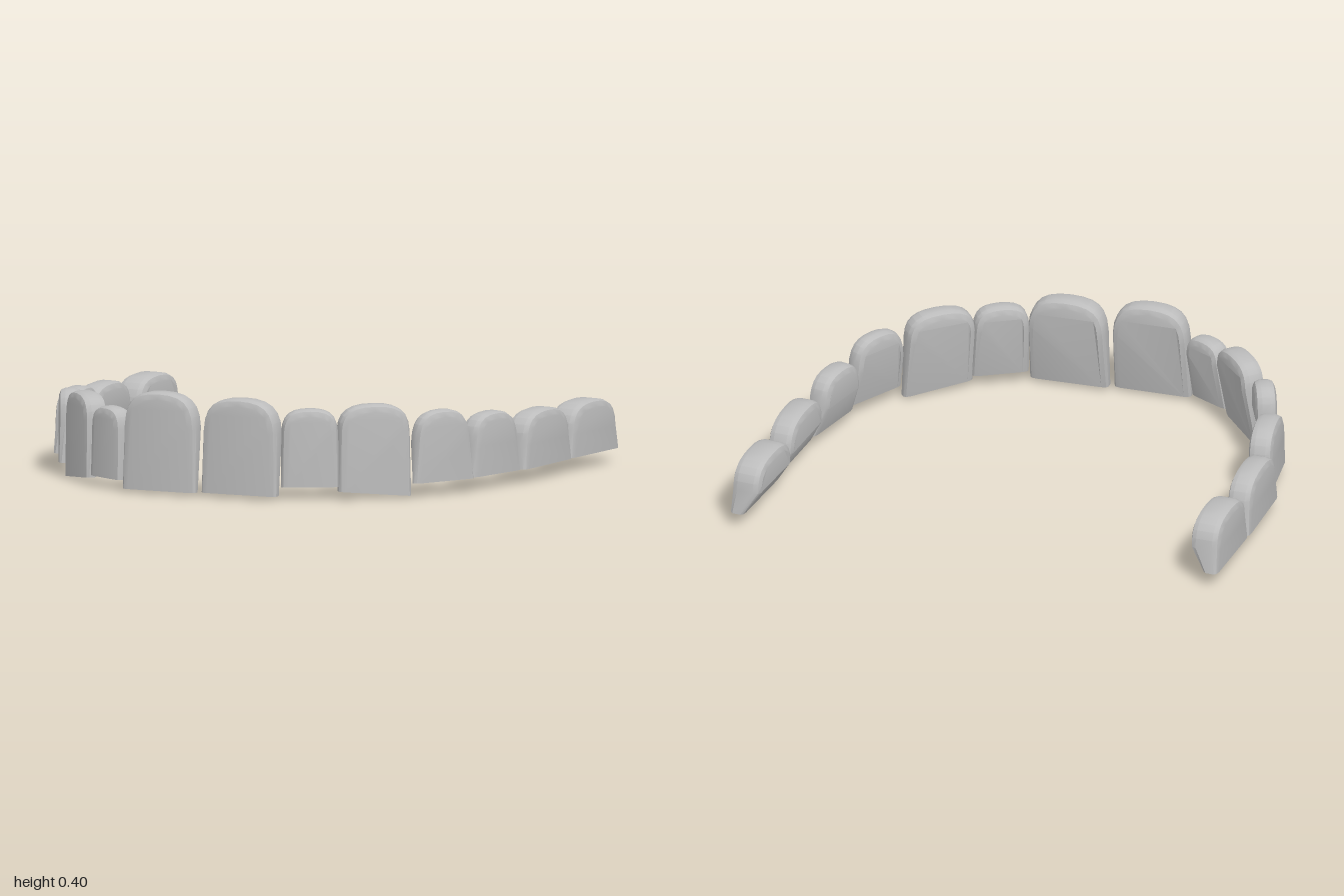
import * as THREE from 'three';
import { toCreasedNormals } from 'three/addons/utils/BufferGeometryUtils.js';

// Each tooth: [name, start x, start z, end x, end z, thickness, bottom y, top y, bottom slant, shoulder]
const TEETH = [
  ['rightRearMolar', -0.945, -0.395, -0.87, -0.045, 0.12, 0.06, 0.27, 0, 0.45],
  ['rightFrontMolar', -0.885, -0.05, -0.795, 0.305, 0.1, 0.06, 0.28, 0, 0.45],
  ['rightRearPremolar', -0.77, 0.285, -0.655, 0.58, 0.095, 0.06, 0.305, 0, 0.5],
  ['rightFrontPremolar', -0.635, 0.56, -0.495, 0.735, 0.085, 0.055, 0.335, 0, 0.55],
  ['rightCanine', -0.485, 0.71, -0.255, 0.845, 0.095, 0.005, 0.355, 0.028, 0.7],
  ['rightLateralIncisor', -0.255, 0.845, -0.072, 0.885, 0.085, 0.045, 0.325, 0, 0.7],
  ['rightCentralIncisor', -0.058, 0.902, 0.243, 0.82, 0.095, 0.018, 0.405, 0, 0.65],
  ['leftCentralIncisor', 0.255, 0.795, 0.56, 0.705, 0.1, 0.02, 0.395, 0, 0.65],
  ['leftLateralIncisor', 0.552, 0.692, 0.715, 0.535, 0.085, 0.055, 0.36, 0, 0.7],
  ['leftCanine', 0.715, 0.545, 0.885, 0.31, 0.09, 0.012, 0.375, -0.025, 0.7],
  ['leftFrontPremolar', 0.9, 0.32, 0.975, 0.05, 0.075, 0.06, 0.34, 0, 0.55],
  ['leftRearPremolar', 0.952, 0.05, 0.95, -0.24, 0.09, 0.06, 0.305, 0, 0.5],
  ['leftFrontMolar', 0.955, -0.24, 0.89, -0.6, 0.105, 0.06, 0.28, 0, 0.45],
  ['leftRearMolar', 0.88, -0.595, 0.825, -0.95, 0.12, 0.06, 0.27, 0, 0.45],
];

// Arched crown with chamfered rims, flat biting edge and a back that thins downwards
function crownGeometry(width, height, thickness, slant, shoulder) {
  const w = width / 2;
  const ws = w - (shoulder < 0.6 ? 0.015 : 0.003);
  const ys = height * shoulder;
  const yc = ys + (height - ys) * 0.75;
  const bevel = 0.026;

  const arch = new THREE.Shape();
  arch.moveTo(-w, 0);
  arch.lineTo(w, 0);
  arch.lineTo(ws, ys);
  arch.bezierCurveTo(ws * 0.97, yc, ws * 0.68, height, 0, height);
  arch.bezierCurveTo(-ws * 0.68, height, -ws * 0.97, yc, -ws, ys);
  arch.closePath();

  const geometry = new THREE.ExtrudeGeometry(arch, {
    depth: thickness - 2 * bevel,
    bevelThickness: bevel,
    bevelSize: bevel,
    bevelOffset: -bevel,
    bevelSegments: 2,
    curveSegments: 6,
  });
  geometry.translate(0, 0, bevel - thickness / 2);

  const p = geometry.attributes.position;
  for (let i = 0; i < p.count; i++) {
    let x = p.getX(i), y = p.getY(i), z = p.getZ(i);
    // flat bottom, slanted on the canines
    if (y < bevel + 0.001) y = 0;
    const keep = 0.5 + 0.5 * Math.min(1, y / ys);
    z = thickness / 2 - (thickness / 2 - z) * keep;
    y += slant * (x / width + 0.5) * (1 - y / height);
    p.setXYZ(i, x, y, z);
  }
  return toCreasedNormals(geometry, 0.45);
}

export function createModel() {
  const group = new THREE.Group();
  group.name = 'toothRow';
  const enamel = new THREE.MeshStandardMaterial({ color: 0xbcbcbc });
  enamel.name = 'enamel';

  for (const [name, x0, z0, x1, z1, thickness, bottom, top, slant, shoulder] of TEETH) {
    const width = Math.hypot(x1 - x0, z1 - z0);
    // a negative slant lowers the far end instead of the near one
    const base = bottom - Math.min(0, slant);
    const tooth = new THREE.Mesh(crownGeometry(width, top - base, thickness, slant, shoulder), enamel);
    tooth.name = name;
    tooth.position.set((x0 + x1) / 2, base, (z0 + z1) / 2);
    tooth.rotation.y = Math.atan2(z0 - z1, x1 - x0);
    group.add(tooth);
  }
  return group;
}
